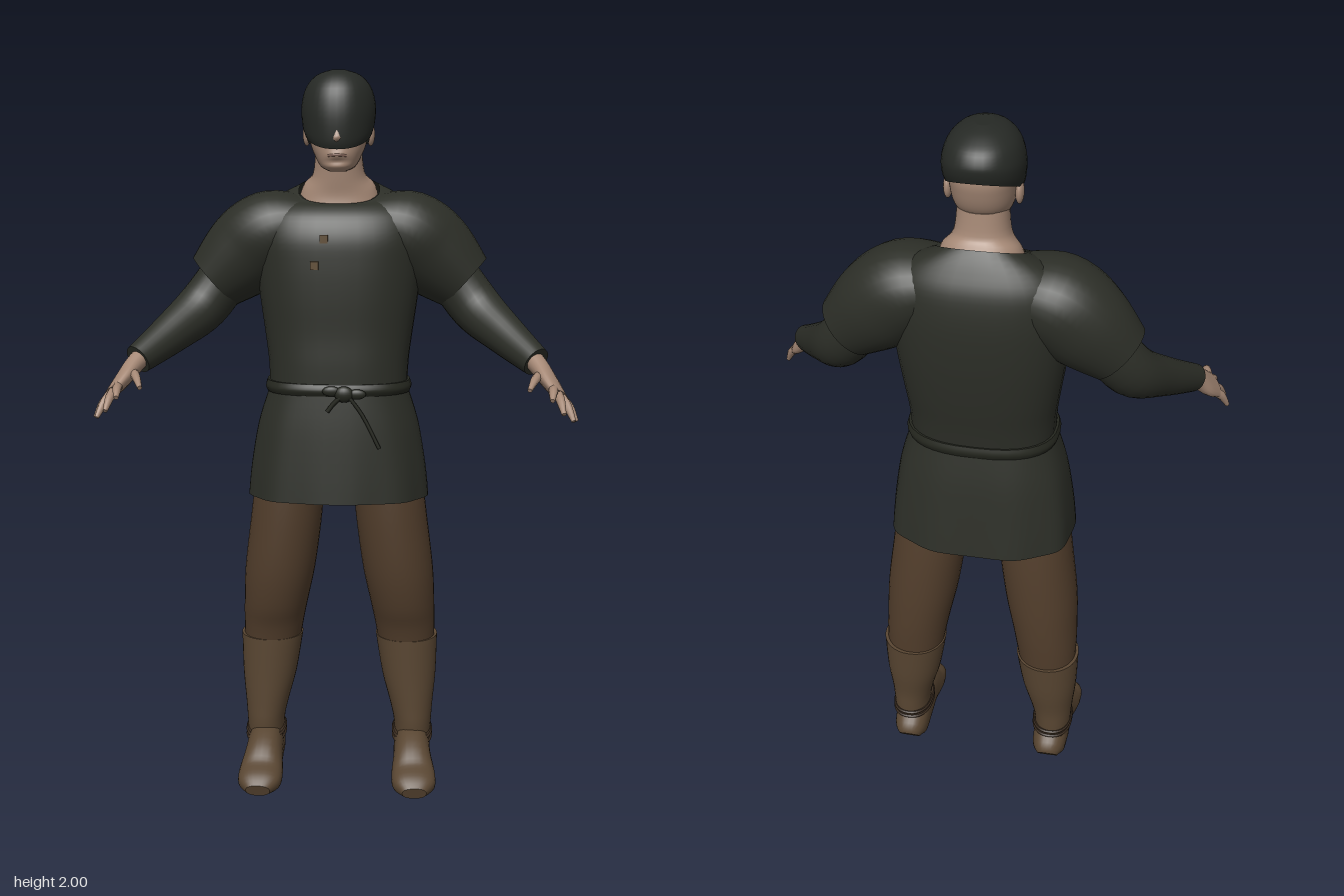
import * as THREE from 'three';

const mat = (name, color, side = THREE.FrontSide) => {
  const m = new THREE.MeshStandardMaterial({ color, side });
  m.name = name;
  return m;
};

// Catmull-Rom smoothing of equally long rows of numbers
function smooth(rows, steps) {
  const out = [], last = rows.length - 1;
  for (let i = 0; i < last; i++) {
    const [a, b, c, d] = [rows[Math.max(i - 1, 0)], rows[i], rows[i + 1], rows[Math.min(i + 2, last)]];
    for (let k = 0; k < steps; k++) {
      const t = k / steps;
      out.push(b.map((_, n) => b[n] + 0.5 * t * (c[n] - a[n] + t * (2 * a[n] - 5 * b[n] + 4 * c[n] - d[n]
        + t * (3 * (b[n] - c[n]) + d[n] - a[n])))));
    }
  }
  out.push(rows[last]);
  return out;
}

// Skin over rings of points, with optional flat end caps
function skin(name, material, rings, capped) {
  const pos = [], index = [], n = rings[0].length;
  rings.forEach(r => r.forEach(p => pos.push(p.x, p.y, p.z)));
  for (let i = 0; i < rings.length - 1; i++) for (let j = 0; j < n; j++) {
    const a = i * n + j, b = i * n + (j + 1) % n;
    index.push(a, a + n, b, b, a + n, b + n);
  }
  if (capped) [rings[0], rings[rings.length - 1]].forEach((r, end) => {
    const base = pos.length / 3, mid = new THREE.Vector3();
    r.forEach(p => { pos.push(p.x, p.y, p.z); mid.add(p); });
    mid.divideScalar(n);
    pos.push(mid.x, mid.y, mid.z);
    for (let j = 0; j < n; j++) {
      const a = base + j, b = base + (j + 1) % n;
      end ? index.push(base + n, b, a) : index.push(base + n, a, b);
    }
  });
  const g = new THREE.BufferGeometry();
  g.setAttribute('position', new THREE.Float32BufferAttribute(pos, 3));
  g.setIndex(index);
  g.computeVertexNormals();
  const mesh = new THREE.Mesh(g, material);
  mesh.name = name;
  return mesh;
}

const soft = (v, pow) => Math.sign(v) * Math.pow(Math.abs(v), 2 / pow);

// Upright body: rows of [y, zFront, zBack, halfWidth, xCentre, tilt], bottom to top
function body(name, material, rows, { seg = 36, pow = 2.3, steps = 4, capped = true, rule } = {}) {
  const full = rows.map(r => [...r, 0, 0].slice(0, 6));
  return skin(name, material, smooth(full, steps).map(([y, zf, zb, rx, cx, tilt]) =>
    Array.from({ length: seg }, (_, j) => {
      const a = j / seg * Math.PI * 2, dz = soft(Math.sin(a), pow) * (zf - zb) / 2;
      const p = new THREE.Vector3(cx + rx * soft(Math.cos(a), pow), y - tilt * dz, (zf + zb) / 2 + dz);
      if (rule) rule(p, a);
      return p;
    })), capped);
}

// Limb along a path: rows of [x, y, z, radius along ref, radius across]
function limb(name, material, rows, { ref = [0, 0, 1], seg = 20, steps = 4, pow = 2, rule } = {}) {
  const path = smooth(rows, steps), at = i => new THREE.Vector3(...path[i].slice(0, 3));
  const side = new THREE.Vector3(...ref);
  return skin(name, material, path.map((row, i) => {
    const t = at(Math.min(i + 1, path.length - 1)).sub(at(Math.max(i - 1, 0))).normalize();
    const u = side.clone().addScaledVector(t, -side.dot(t)).normalize();
    const v = u.clone().cross(t);
    return Array.from({ length: seg }, (_, j) => {
      const a = j / seg * Math.PI * 2;
      const p = at(i).addScaledVector(u, row[3] * soft(Math.cos(a), pow))
        .addScaledVector(v, row[4] * soft(Math.sin(a), pow));
      if (rule) rule(p);
      return p;
    });
  }), true);
}

export function createModel() {
  const model = new THREE.Group();
  model.name = 'standingMan';
  const tunic = mat('tunicCloth', 0x2c2e27, THREE.DoubleSide), belt = mat('beltCloth', 0x25271f);
  const trousers = mat('trouserCloth', 0x513d2b), boots = mat('bootLeather', 0x594632);
  const flesh = mat('skin', 0xa58875), hair = mat('hair', 0x262925);
  const lips = mat('lips', 0x7d5d50), button = mat('button', 0x5e4a31), eye = mat('eye', 0x2a211c);
  const lace = mat('lace', 0x3a2c20);
  const add = (...parts) => model.add(...parts);
  const blob = (name, m, x, y, z, sx, sy, sz) => {
    const b = new THREE.Mesh(new THREE.SphereGeometry(1, 16, 12), m);
    b.name = name;
    b.position.set(x, y, z);
    b.scale.set(sx, sy, sz);
    add(b);
  };
  const cord = (name, m, pts, r) => add(limb(name, m, pts.map(p => [...p, r, r]),
    { seg: 8, ref: [0.1, 0.3, 1] }));

  // Tunic
  add(body('tunicTorso', tunic, [
    [1.14, 0.045, -0.215, 0.19], [1.22, 0.045, -0.225, 0.193], [1.3, 0.043, -0.238, 0.203],
    [1.4, 0.045, -0.25, 0.217], [1.49, 0.044, -0.255, 0.226], [1.56, 0.038, -0.252, 0.23],
    [1.62, 0.015, -0.24, 0.22, 0, 0.03], [1.66, -0.015, -0.215, 0.18, 0, 0.15],
    [1.685, -0.03, -0.185, 0.11, 0, 0.45]], { pow: 2.5, capped: false }));
  add(body('tunicSkirt', tunic, [
    [0.845, 0.07, -0.27, 0.25], [0.93, 0.064, -0.257, 0.242], [1.05, 0.055, -0.238, 0.222],
    [1.15, 0.045, -0.217, 0.191]], {
    pow: 2.5, seg: 64, capped: false,
    rule: (p, a) => { // gentle folds fading to the waist
      const k = 1 + 0.05 * (1.15 - p.y) * Math.sin(9 * a);
      p.x *= k;
      p.z = -0.1 + (p.z + 0.1) * k;
    }
  }));

  // Belt with knot and hanging ends
  add(body('belt', belt, [[1.14, 0.05, -0.222, 0.197], [1.155, 0.056, -0.227, 0.202],
    [1.172, 0.05, -0.223, 0.197]], { pow: 2.5 }));
  blob('beltKnot', belt, 0.02, 1.148, 0.058, 0.026, 0.022, 0.014);
  [-1, 1].forEach(s => blob('beltBow', belt, 0.02 + s * 0.034, 1.152 - s * 0.004, 0.057, 0.025, 0.014, 0.009));
  cord('beltEnd', belt, [[0.03, 1.145, 0.063], [0.07, 1.09, 0.057], [0.115, 1.0, 0.054]], 0.005);
  cord('beltEnd', belt, [[0.015, 1.145, 0.065], [-0.01, 1.12, 0.058], [-0.025, 1.1, 0.056]], 0.006);

  // Buttons
  [[-0.035, 1.56, 0.037], [-0.06, 1.49, 0.041]].forEach(([x, y, z]) => {
    const b = new THREE.Mesh(new THREE.BoxGeometry(0.022, 0.022, 0.009), button);
    b.name = 'button';
    b.position.set(x, y, z);
    add(b);
  });

  // Neck and head, the face shaped by soft bumps
  add(body('neck', flesh, [[1.675, -0.033, -0.182, 0.105, 0, 0.45], [1.698, -0.036, -0.172, 0.095, 0, 0.4],
    [1.73, -0.03, -0.162, 0.07, 0, 0.2], [1.8, -0.02, -0.155, 0.062, 0, 0]]));
  const bell = (v, w) => Math.exp(-v * v / (w * w));
  add(body('head', flesh, [[1.735, 0.008, -0.05, 0.022], [1.748, 0.024, -0.1, 0.046],
    [1.78, 0.028, -0.135, 0.064], [1.81, 0.028, -0.16, 0.075], [1.85, 0.028, -0.175, 0.081],
    [1.89, 0.029, -0.18, 0.084], [1.94, 0.01, -0.165, 0.075]], {
    seg: 56, steps: 7,
    rule: p => {
      if (p.z < -0.03) return;
      const slope = p.y > 1.82 ? Math.max(0, 1 - (p.y - 1.82) / 0.055) : Math.max(0, 1 - (1.82 - p.y) / 0.018);
      const ax = Math.abs(p.x);
      p.z += 0.026 * slope * bell(p.x, 0.013) - 0.009 * bell(ax - 0.031, 0.016) * bell(p.y - 1.857, 0.012)
        + 0.005 * bell(p.y - 1.778, 0.01) * bell(p.x, 0.025) - 0.005 * bell(p.y - 1.76, 0.007) * bell(p.x, 0.03);
    }
  }));
  cord('mouth', lips, [[-0.024, 1.776, 0.025], [0, 1.778, 0.0315], [0.024, 1.776, 0.025]], 0.0035);
  add(body('hairCap', hair, [[1.842, 0.036, -0.19, 0.09, 0, 0.44], [1.865, 0.042, -0.197, 0.097, 0, 0.4],
    [1.91, 0.044, -0.197, 0.099, 0, 0.2], [1.955, 0.03, -0.18, 0.086, 0, 0.08],
    [1.985, -0.005, -0.145, 0.058], [1.998, -0.04, -0.105, 0.022]], { pow: 2.15 }));

  for (const s of [-1, 1]) {
    blob('ear', flesh, s * 0.086, 1.832, -0.085, 0.011, 0.031, 0.02);
    blob('sideburn', hair, s * 0.076, 1.838, -0.052, 0.009, 0.032, 0.014);
    blob('eye', eye, s * 0.031, 1.856, 0.0155, 0.012, 0.005, 0.0045);
    cord('eyebrow', hair, [[s * 0.014, 1.872, 0.03], [s * 0.032, 1.876, 0.026], [s * 0.05, 1.87, 0.016]], 0.004);

    // Arm: short oversleeve, long undersleeve
    add(limb('shortSleeve', tunic, [[s * 0.07, 1.6, -0.11, 0.1, 0.07], [s * 0.18, 1.572, -0.115, 0.122, 0.115],
      [s * 0.26, 1.51, -0.12, 0.108, 0.12], [s * 0.345, 1.435, -0.115, 0.08, 0.088]], { seg: 28, steps: 6 }));
    add(limb('longSleeve', tunic, [[s * 0.3, 1.47, -0.118, 0.068, 0.07], [s * 0.375, 1.37, -0.09, 0.064, 0.07],
      [s * 0.45, 1.305, -0.005, 0.05, 0.056], [s * 0.527, 1.245, 0.095, 0.036, 0.04]], { seg: 24, steps: 5 }));

    // Hand with four fanned fingers and a thumb
    const w = [s * -0.56, 0.56, 0.61];
    add(limb('palm', flesh, [[s * 0.515, 1.255, 0.08, 0.026, 0.026], [s * 0.535, 1.232, 0.112, 0.03, 0.025],
      [s * 0.558, 1.2, 0.148, 0.043, 0.021], [s * 0.582, 1.168, 0.188, 0.04, 0.015]], { ref: w }));
    [[[0.592, 1.158, 0.166], [0.625, 1.105, 0.192]], [[0.584, 1.168, 0.177], [0.614, 1.112, 0.23]],
      [[0.574, 1.178, 0.189], [0.585, 1.135, 0.262]], [[0.563, 1.188, 0.2], [0.555, 1.17, 0.264]],
      [[0.535, 1.218, 0.135], [0.5, 1.19, 0.228]]].forEach(([a, b], i) => {
      const mid = a.map((v, k) => (v + b[k]) / 2 + (k === 1 ? 0.007 : 0));
      add(limb(i === 4 ? 'thumb' : 'finger', flesh, [[s * a[0], a[1], a[2], 0.013, 0.013],
        [s * mid[0], mid[1], mid[2], 0.0115, 0.0115], [s * b[0], b[1], b[2], 0.006, 0.006]],
      { ref: w, seg: 10 }));
    });

    // Leg
    add(body('trouserLeg', trousers, [[0.36, -0.06, -0.22, 0.078, s * 0.197], [0.45, -0.042, -0.226, 0.086, s * 0.19],
      [0.52, -0.018, -0.229, 0.092, s * 0.182], [0.62, 0.0, -0.228, 0.1, s * 0.169],
      [0.75, 0.006, -0.22, 0.101, s * 0.152], [0.88, 0.005, -0.205, 0.098, s * 0.136],
      [1.0, 0, -0.19, 0.088, s * 0.108]], { pow: 2.1 }));

    // Boot shaft, foot and ankle laces
    add(body('bootShaft', boots, [[0.06, -0.06, -0.195, 0.05, s * 0.215], [0.15, -0.05, -0.2, 0.054, s * 0.215],
      [0.21, -0.05, -0.203, 0.062, s * 0.211], [0.3, -0.05, -0.219, 0.078, s * 0.203],
      [0.415, -0.048, -0.232, 0.089, s * 0.195]], { pow: 2.1 }));
    add(limb('bootFoot', boots, [[s * 0.212, 0.045, -0.206, 0.03, 0.03], [s * 0.212, 0.06, -0.18, 0.048, 0.056],
      [s * 0.213, 0.075, -0.1, 0.052, 0.078], [s * 0.214, 0.07, -0.03, 0.054, 0.066],
      [s * 0.217, 0.046, 0.03, 0.062, 0.046], [s * 0.219, 0.036, 0.08, 0.059, 0.034],
      [s * 0.22, 0.026, 0.112, 0.034, 0.018]],
    { ref: [1, 0, 0], seg: 28, pow: 2.4, rule: p => { p.y = Math.max(p.y, 0.003 * (p.z > -0.06 ? 0 : 1)); } }));
    [0.112, 0.128].forEach(y => add(body('ankleLace', lace, [[y - 0.005, -0.037, -0.202, 0.055, s * 0.214, 0.1],
      [y, -0.031, -0.206, 0.059, s * 0.214, 0.1], [y + 0.005, -0.037, -0.202, 0.055, s * 0.214, 0.1]], { steps: 2 })));
    blob('laceKnot', lace, s * 0.214, 0.118, -0.026, 0.014, 0.01, 0.01);
    [-1, 1].forEach(k => cord('laceEnd', lace, [[s * 0.214, 0.118, -0.024],
      [s * 0.214 + k * 0.025, 0.124, -0.018], [s * 0.214 + k * 0.042, 0.108, -0.022]], 0.004));
  }
  return model;
}
